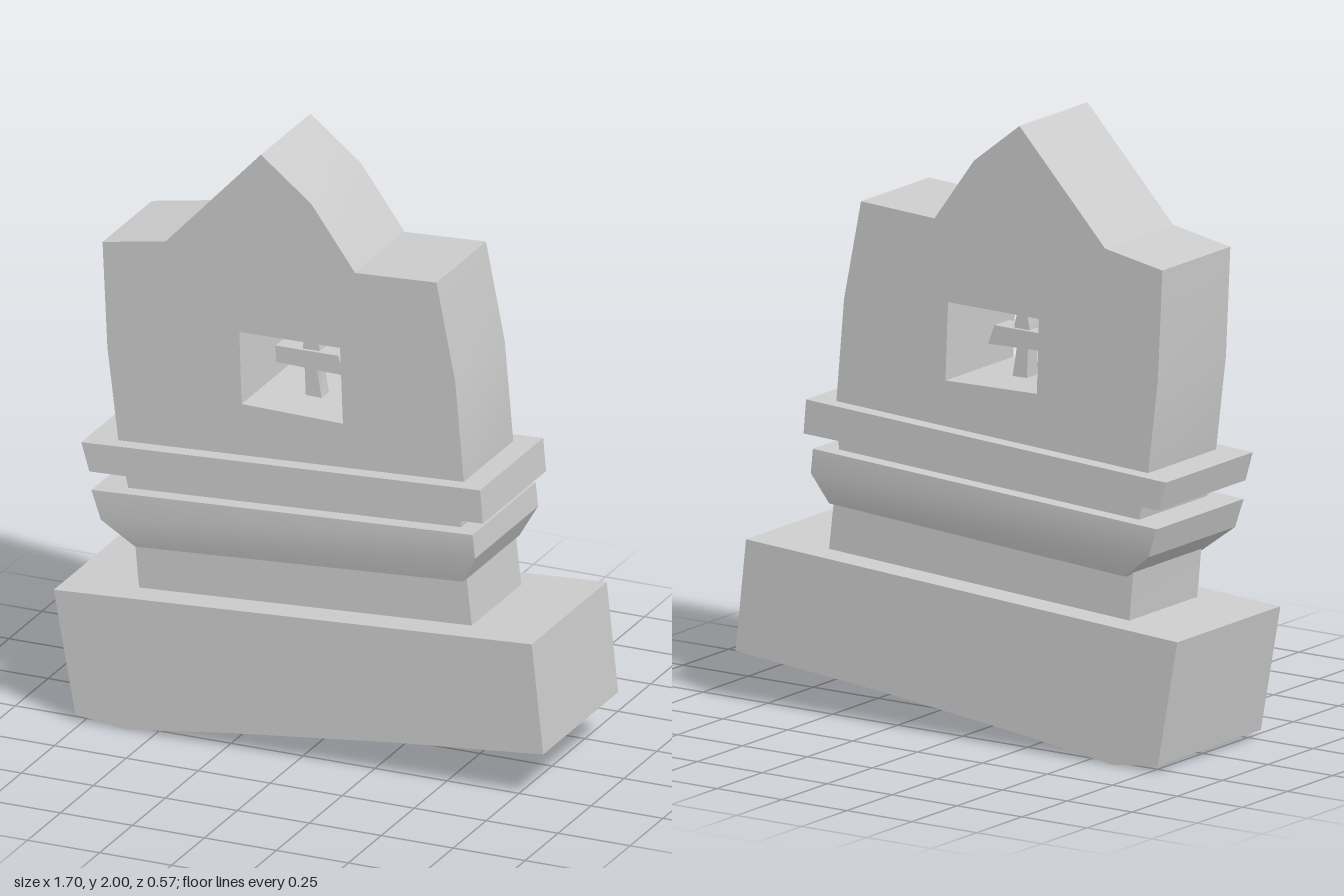
import * as THREE from 'three';
import { toCreasedNormals } from 'three/addons/utils/BufferGeometryUtils.js';

const CREASE = THREE.MathUtils.degToRad(28);
const toPoints = (list) => list.map(([x, y]) => new THREE.Vector2(x, y));

export function createModel() {
  const group = new THREE.Group();
  const material = new THREE.MeshStandardMaterial({ color: 0xcccccc });

  function add(name, geometry) {
    const mesh = new THREE.Mesh(toCreasedNormals(geometry, CREASE), material);
    mesh.name = name;
    group.add(mesh);
  }

  // Slab with a front outline, centred on z = 0
  function addSlab(name, outline, halfDepth, hole) {
    const shape = new THREE.Shape(toPoints(outline));
    if (hole) shape.holes.push(new THREE.Path(toPoints(hole)));
    const geometry = new THREE.ExtrudeGeometry(shape, { depth: 2 * halfDepth, bevelEnabled: false });
    add(name, geometry.translate(0, 0, -halfDepth));
  }

  // Leaning plinth with an uneven underside
  addSlab('base', [
    [-0.85, 0.435], [-0.775, 0.022], [-0.6, 0], [-0.24, 0.05],
    [0.3, 0.112], [0.85, 0.163], [0.81, 0.532],
  ], 0.285);

  // Upright slab with a peaked top and a window through it
  addSlab('body', [
    [-0.597, 0.44], [0.56, 0.5], [0.54, 0.67], [0.52, 0.85], [0.53, 1.0],
    [0.5, 1.34], [0.435, 1.667], [0.152, 1.652], [0, 1.862], [-0.175, 2],
    [-0.505, 1.648], [-0.725, 1.608], [-0.708, 1.25], [-0.67, 0.94],
    [-0.635, 0.78], [-0.613, 0.61],
  ], 0.188, [[-0.25, 1.382], [0.1, 1.387], [0.11, 1.13], [-0.242, 1.137]]);

  // Upper flat moulding
  addSlab('upperMoulding', [
    [-0.775, 0.935], [-0.747, 0.84], [0.62, 0.895], [0.61, 1.007],
  ], 0.24);

  // Lower moulding: three levels, narrowing underneath
  const levels = [
    { left: [-0.6, 0.598], right: [0.54, 0.673], z: 0.213 },
    { left: [-0.707, 0.682], right: [0.592, 0.77], z: 0.24 },
    { left: [-0.74, 0.778], right: [0.584, 0.85], z: 0.24 },
  ];
  const moulding = new THREE.BoxGeometry(1, 1, 1, 1, 2, 1);
  const pos = moulding.attributes.position;
  for (let i = 0; i < pos.count; i++) {
    const level = levels[Math.round((pos.getY(i) + 0.5) * 2)];
    const [x, y] = pos.getX(i) < 0 ? level.left : level.right;
    pos.setXYZ(i, x, y, Math.sign(pos.getZ(i)) * level.z);
  }
  add('lowerMoulding', moulding);

  // Crooked window bars
  addSlab('windowUpright', [
    [-0.09, 1.36], [-0.102, 1.3], [-0.095, 1.21], [-0.092, 1.13],
    [-0.036, 1.125], [-0.052, 1.22], [-0.044, 1.3], [-0.06, 1.36],
  ], 0.028);
  addSlab('windowCrossbar', [
    [-0.192, 1.29], [-0.19, 1.235], [0.048, 1.228], [0.025, 1.292],
  ], 0.04);

  return group;
}
